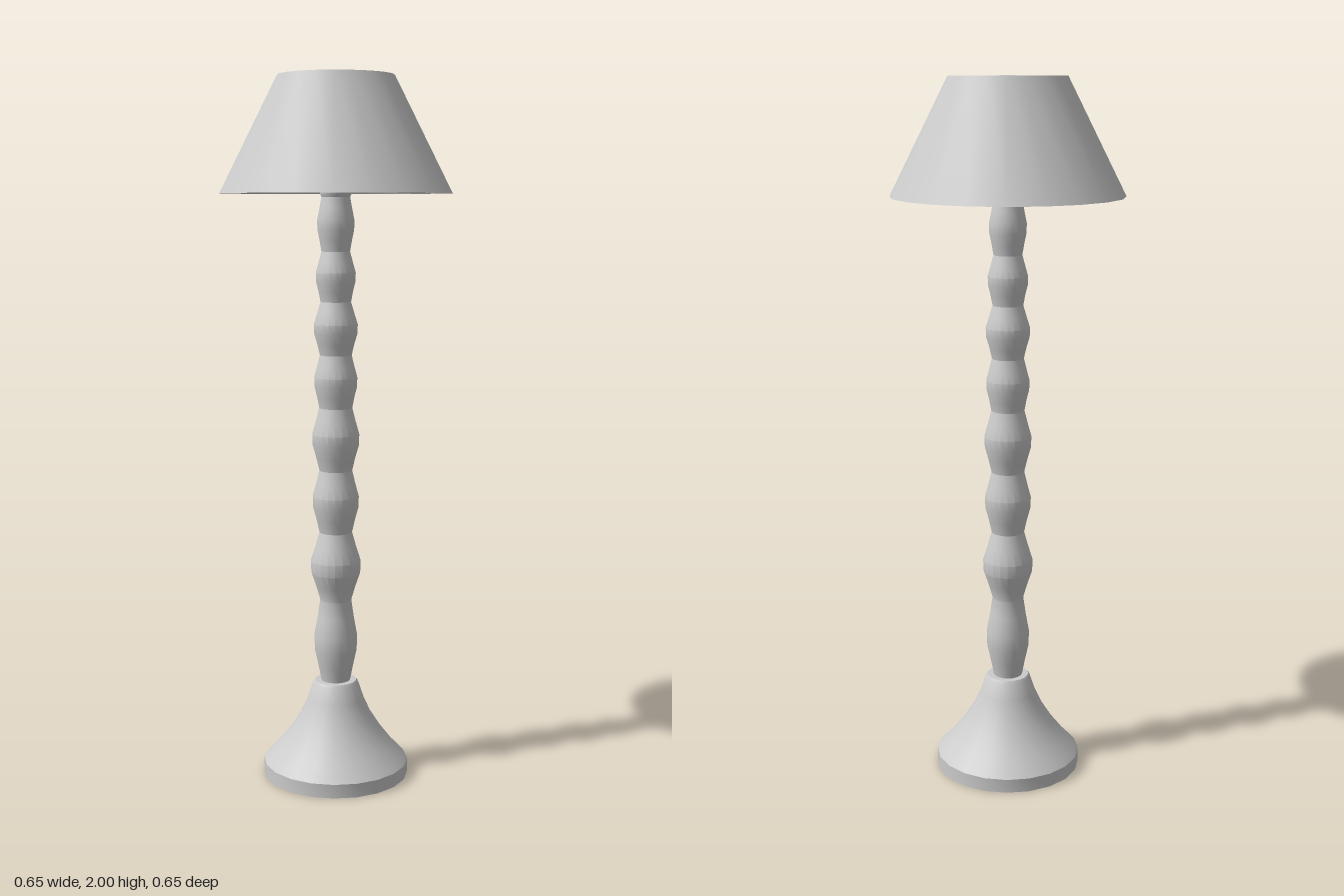
import * as THREE from 'three';
import { toCreasedNormals } from 'three/addons/utils/BufferGeometryUtils.js';

const material = new THREE.MeshStandardMaterial({ color: 0xcccccc });
const SIDES = 20;

function addMesh(parent, name, geometry) {
  const mesh = new THREE.Mesh(geometry, material);
  mesh.name = name;
  parent.add(mesh);
  return mesh;
}

// Turned part from [radius, height] pairs, with sharp edges kept
function turned(profile) {
  const points = profile.map(([r, y]) => new THREE.Vector2(r, y));
  return toCreasedNormals(new THREE.LatheGeometry(points, SIDES), 0.42);
}

// Stem outline: beads swelling between narrow necks
function stemProfile() {
  const necks = [[0.04, 0.27], [0.045, 0.52], [0.047, 0.72], [0.047, 0.9], [0.047, 1.08],
    [0.045, 1.23], [0.043, 1.38], [0.04, 1.52], [0.04, 1.67]];
  const bulges = [0.062, 0.072, 0.066, 0.067, 0.061, 0.062, 0.056, 0.052];
  const profile = [[0, 0.27]];
  bulges.forEach((bulge, i) => {
    const [r0, y0] = necks[i], [r1, y1] = necks[i + 1];
    for (const [t, swell] of [[0, 0], [0.2, 0.42], [0.4, 0.94], [0.58, 1], [0.8, 0.45]]) {
      const r = r0 + (r1 - r0) * t;
      profile.push([r + (bulge - r) * swell, y0 + (y1 - y0) * t]);
    }
  });
  profile.push([0.04, 1.67], [0.044, 1.68], [0.044, 1.72], [0.036, 1.74], [0.036, 1.8], [0, 1.8]);
  return profile;
}

// Flat curved strip reaching from the stem to the inside of the shade
function bracketArm() {
  const width = 0.032;
  const s = new THREE.Shape();
  s.moveTo(0.02, 1.715);
  s.lineTo(0.07, 1.715);
  s.bezierCurveTo(0.115, 1.715, 0.14, 1.74, 0.14, 1.79);
  s.lineTo(0.136, 1.975);
  s.lineTo(0.116, 1.975);
  s.lineTo(0.122, 1.79);
  s.bezierCurveTo(0.122, 1.75, 0.105, 1.733, 0.07, 1.733);
  s.lineTo(0.02, 1.733);
  s.closePath();
  const geometry = new THREE.ExtrudeGeometry(s, { depth: width, bevelEnabled: false, curveSegments: 5 });
  geometry.translate(0, 0, -width / 2);
  return toCreasedNormals(geometry, 0.5);
}

export function createModel() {
  const lamp = new THREE.Group();
  lamp.name = 'floorLamp';

  // Flared foot on a short plinth
  addMesh(lamp, 'base', turned([[0, 0], [0.21, 0], [0.21, 0.04], [0.2, 0.052], [0.17, 0.083],
    [0.135, 0.128], [0.105, 0.175], [0.082, 0.225], [0.066, 0.272], [0.06, 0.28], [0, 0.28]]));

  addMesh(lamp, 'stem', turned(stemProfile()));

  // Hollow conical shade
  addMesh(lamp, 'shade', turned([[0.324, 1.68], [0.162, 2], [0.14, 1.98], [0.275, 1.68], [0.324, 1.68]]));

  const bulb = addMesh(lamp, 'bulb', new THREE.SphereGeometry(0.077, 18, 14));
  bulb.position.set(-0.003, 1.853, -0.002);

  // Two arms holding the shade
  const bracket = new THREE.Group();
  bracket.name = 'shadeBracket';
  for (const [name, angle] of [['frontArm', -1.89], ['backArm', 1.37]]) {
    addMesh(bracket, name, bracketArm()).rotation.y = angle;
  }
  lamp.add(bracket);

  return lamp;
}
